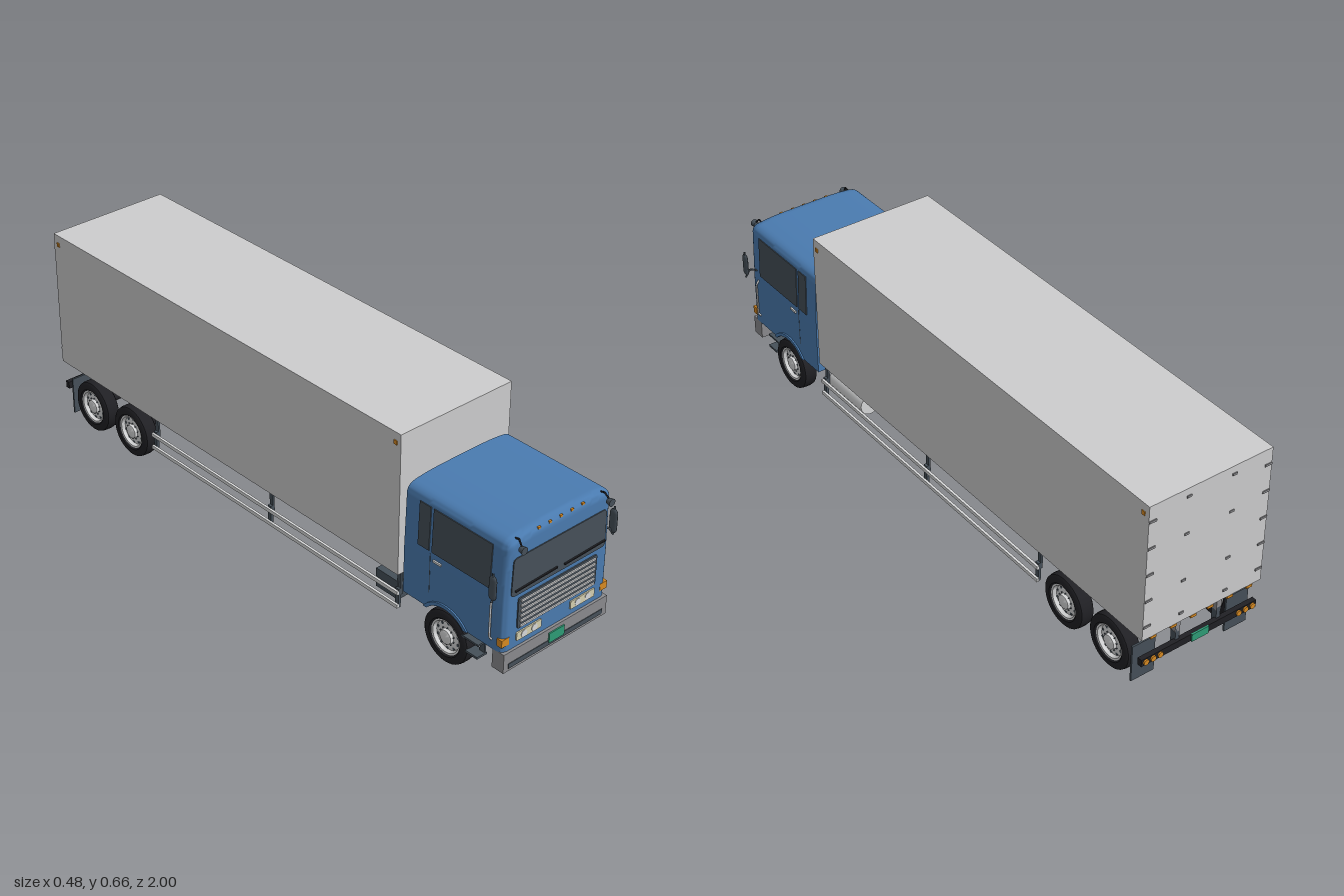
import * as THREE from 'three';
import { mergeVertices, toCreasedNormals } from 'three/addons/utils/BufferGeometryUtils.js';

const mat = (name, color) => new THREE.MeshStandardMaterial({ name, color });

export function createModel() {
  const truck = new THREE.Group();
  truck.name = 'boxTruck';
  const blue = mat('cabBlue', 0x4a7bb0), pale = mat('cargoGrey', 0xcdcdce), slate = mat('darkSlate', 0x465059);
  const black = mat('tyreBlack', 0x202024), grey = mat('frameGrey', 0x8b8b8e), silver = mat('silver', 0xd8d9da);
  const cream = mat('lampCream', 0xd6d0b0), orange = mat('signalOrange', 0xd88a22), green = mat('plateGreen', 0x2e9c76);

  const add = (name, geo, m, x = 0, y = 0, z = 0, parent = truck) => {
    const mesh = new THREE.Mesh(geo, m);
    mesh.name = name;
    mesh.position.set(x, y, z);
    parent.add(mesh);
    return mesh;
  };
  // box given by its minimum and maximum on each axis
  const box = (name, m, x0, x1, y0, y1, z0, z1) =>
    add(name, new THREE.BoxGeometry(x1 - x0, y1 - y0, z1 - z0), m, (x0 + x1) / 2, (y0 + y1) / 2, (z0 + z1) / 2);
  const rod = (name, m, r, pts) => add(name, new THREE.TubeGeometry(
    new THREE.CatmullRomCurve3(pts.map(p => new THREE.Vector3(...p)), false, 'catmullrom', 0.1), 14, r, 8), m);
  // thin rounded plate facing +z
  const plate = (name, m, x0, x1, y0, y1, z, r, depth = 0.005, topInset = 0) => {
    const s = new THREE.Shape(), t = topInset;
    s.moveTo(x0 + r, y0);
    s.lineTo(x1 - r, y0); s.quadraticCurveTo(x1, y0, x1, y0 + r);
    s.lineTo(x1 - t, y1 - r); s.quadraticCurveTo(x1 - t, y1, x1 - t - r, y1);
    s.lineTo(x0 + t + r, y1); s.quadraticCurveTo(x0 + t, y1, x0 + t, y1 - r);
    s.lineTo(x0, y0 + r); s.quadraticCurveTo(x0, y0, x0 + r, y0);
    return add(name, new THREE.ExtrudeGeometry(s, { depth, bevelEnabled: false, curveSegments: 5 }), m, 0, 0, z);
  };
  const sides = [1, -1];

  // cab shell: a box with rounded top and front edges and wheel arches cut below
  const W = 0.205, TOP = 0.513, FRONT = 0.97, BACK = 0.59, R = 0.022, AXLE = 0.758;
  let shell = new THREE.BoxGeometry(2 * W, 1, FRONT - BACK, 40, 36, 40);
  shell.deleteAttribute('normal');
  shell.deleteAttribute('uv');
  const p = shell.attributes.position, v = new THREE.Vector3(), core = new THREE.Vector3();
  for (let i = 0; i < p.count; i++) {
    v.fromBufferAttribute(p, i);
    v.z += (FRONT + BACK) / 2;
    const dz = v.z - AXLE;
    const floor = Math.max(0.15, 0.088 + Math.sqrt(Math.max(0, 0.01 - dz * dz)));
    v.y = floor + (v.y + 0.5) * (TOP - floor);
    core.set(THREE.MathUtils.clamp(v.x, R - W, W - R), Math.min(v.y, TOP - R), Math.min(v.z, FRONT - R));
    // the rear edges stay square
    if (v.z < BACK + 0.001) core.z = v.z;
    v.sub(core);
    if (v.lengthSq() > 0) v.setLength(Math.min(R, Math.max(Math.abs(v.x), Math.abs(v.y), Math.abs(v.z))));
    v.add(core);
    v.y -= 0.012 * Math.pow(v.x / 0.2, 4) * THREE.MathUtils.clamp((v.y - 0.4) / 0.11, 0, 1);
    v.x *= 1 - 0.15 * Math.max(0, v.y - 0.3);
    p.setXYZ(i, v.x, v.y, v.z);
  }
  shell = toCreasedNormals(mergeVertices(shell, 1e-5), 0.75);
  add('cabShell', shell, [blue, blue, blue, black, blue, blue]);

  // cab front
  plate('windscreen', slate, -0.182, 0.182, 0.325, 0.447, 0.969, 0.014, 0.004, 0.003);
  plate('grille', slate, -0.153, 0.153, 0.21, 0.31, 0.969, 0.008, 0.005);
  for (let i = 0; i < 6; i++) {
    const y = 0.2175 + i * 0.0165;
    box('grilleSlat', silver, -0.145, 0.145, y - 0.0028, y + 0.0028, 0.972, 0.978);
  }
  for (let i = -2; i <= 2; i++) box('roofMarker', orange, i * 0.042 - 0.005, i * 0.042 + 0.005, 0.5, 0.506, 0.955, 0.969);
  for (const x of [-0.09, 0.098]) {
    const wiper = box('wiper', black, x - 0.08, x + 0.08, 0.342, 0.346, 0.973, 0.978);
    wiper.rotation.z = 0.025;
  }
  box('bumper', grey, -0.203, 0.203, 0.088, 0.15, 0.935, 0.978);
  box('bumperInset', slate, -0.185, 0.185, 0.097, 0.113, 0.975, 0.98);
  box('frontPlate', green, -0.03, 0.03, 0.105, 0.137, 0.977, 0.982);

  for (const s of sides) {
    const span = (name, m, a, b, ...rest) => box(name, m, Math.min(s * a, s * b), Math.max(s * a, s * b), ...rest);
    plate('headlight', cream, s > 0 ? 0.057 : -0.153, s > 0 ? 0.153 : -0.057, 0.17, 0.197, 0.969, 0.004);
    for (const x of [0.085, 0.125]) {
      const lens = add('headlightLens', new THREE.CylinderGeometry(0.011, 0.011, 0.004, 20), silver, s * x, 0.1835, 0.9735);
      lens.rotation.x = Math.PI / 2;
    }
    span('turnSignal', orange, 0.179, 0.207, 0.171, 0.195, 0.952, 0.971);

    // cab side glass follows the slight lean of the wall
    for (const [z0, z1] of [[0.697, 0.916], [0.643, 0.686]]) {
      span('sideWindow', slate, 0.1986, 0.2046, 0.338, 0.477, z0, z1).rotation.z = s * 0.031;
    }
    span('doorSeam', slate, 0.2, 0.2055, 0.2, 0.33, 0.69, 0.692);
    span('doorHandle', silver, 0.203, 0.209, 0.311, 0.318, 0.705, 0.735);
    rod('grabRail', silver, 0.003, [[s * 0.2, 0.175, 0.93], [s * 0.213, 0.19, 0.93], [s * 0.213, 0.3, 0.93], [s * 0.2, 0.318, 0.93]]);

    // raised lip above the front wheel
    const arc = new THREE.Shape();
    arc.absarc(0, 0, 0.105, 0.64, Math.PI - 0.64, false);
    arc.absarc(0, 0, 0.094, Math.PI - 0.72, 0.72, true);
    const lip = add('wheelArchLip', new THREE.ExtrudeGeometry(arc, { depth: 0.03, bevelEnabled: false, curveSegments: 20 }),
      blue, s > 0 ? 0.18 : -0.21, 0.088, AXLE);
    lip.rotation.y = Math.PI / 2;

    // mirrors and roof lamps
    add('mirror', new THREE.CapsuleGeometry(0.014, 0.05, 5, 14), slate, s * 0.234, 0.373, 0.953).scale.x = 0.42;
    rod('mirrorArm', slate, 0.003, [[s * 0.2, 0.347, 0.935], [s * 0.222, 0.353, 0.948], [s * 0.237, 0.327, 0.953]]);
    rod('mirrorPost', slate, 0.003, [[s * 0.235, 0.39, 0.953], [s * 0.235, 0.422, 0.953]]);
    const lamp = add('roofLamp', new THREE.CylinderGeometry(0.012, 0.009, 0.015, 18), slate, s * 0.168, 0.483, 0.99);
    lamp.rotation.x = Math.PI / 2;
    rod('lampStalk', black, 0.0025, [[s * 0.163, 0.5, 0.95], [s * 0.164, 0.506, 0.972], [s * 0.168, 0.487, 0.988]]);

    // entry steps
    span('step', slate, 0.17, 0.206, 0.126, 0.132, 0.82, 0.885);
    span('lowerStep', slate, 0.17, 0.208, 0.084, 0.091, 0.84, 0.885);
    span('stepHanger', slate, 0.172, 0.178, 0.084, 0.152, 0.865, 0.883);

    // chassis rails and side guards
    span('chassisRail', grey, 0.065, 0.082, 0.15, 0.2, -0.985, 0.93);
    for (const y of [0.085, 0.13]) span('guardBar', silver, 0.2, 0.208, y - 0.006, y + 0.006, -0.54, 0.57);
    for (const z of [0.562, 0.015, -0.53]) {
      span('guardPost', slate, 0.192, 0.201, 0.078, 0.142, z - 0.007, z + 0.007);
      span('guardHanger', slate, 0.186, 0.193, 0.12, 0.2, z - 0.007, z + 0.007);
    }

    // mudflaps, rear lamps and corner markers
    span('mudflap', slate, 0.127, 0.207, 0.02, 0.145, -0.958, -0.952);
    span('underrunBracket', slate, 0.066, 0.08, 0.1, 0.16, -0.985, -0.965);
    for (const x of [0.14, 0.165, 0.19]) {
      const rear = add('rearLamp', new THREE.CylinderGeometry(0.009, 0.009, 0.006, 16), orange, s * x, 0.11, -0.996);
      rear.rotation.x = Math.PI / 2;
    }
    for (const x of [0.03, 0.1, 0.17]) span('rearMarker', orange, x - 0.01, x + 0.01, 0.188, 0.197, -0.998, -0.985);
    for (const z of [0.553, -0.975]) span('cornerMarker', orange, 0.208, 0.2125, 0.617, 0.63, z - 0.006, z + 0.006);

    // rear door hinges and catches
    for (let i = 0; i < 5; i++) span('doorHinge', grey, 0.185, 0.209, 0.24 + i * 0.09, 0.247 + i * 0.09, -1, -0.995);
    for (const y of [0.225, 0.34, 0.5, 0.625]) span('doorCatch', grey, 0.07, 0.085, y, y + 0.007, -1, -0.995);
  }

  // cargo body, floor crossmembers
  box('cargoBody', pale, -0.21, 0.21, 0.197, 0.655, -0.997, 0.573);
  for (let i = 0; i < 5; i++) box('crossMember', grey, -0.066, 0.066, 0.165, 0.19, 0.44 - i * 0.34, 0.46 - i * 0.34);
  box('engine', black, -0.064, 0.064, 0.11, 0.19, 0.6, 0.92);

  // rear underrun bar and plate
  box('underrunBar', black, -0.205, 0.205, 0.098, 0.122, -0.994, -0.978);
  box('rearPlate', green, -0.03, 0.03, 0.097, 0.123, -0.998, -0.993);

  // battery box on the right, fuel tank on the left
  box('batteryBox', slate, -0.195, -0.1, 0.098, 0.16, 0.47, 0.56);
  const tank = add('fuelTank', new THREE.CylinderGeometry(0.036, 0.036, 0.18, 32), silver, 0.15, 0.128, 0.47);
  tank.rotation.x = Math.PI / 2;
  for (const z of [0.42, 0.52]) box('tankBracket', slate, 0.08, 0.13, 0.15, 0.197, z - 0.006, z + 0.006);

  // wheels
  const lathe = (pts, crease) => toCreasedNormals(
    new THREE.LatheGeometry(pts.map(q => new THREE.Vector2(...q)), 36), crease);
  const tyreGeo = lathe([[0.053, -0.019], [0.06, -0.025], [0.076, -0.025], [0.083, -0.02], [0.085, -0.01],
    [0.085, 0.01], [0.083, 0.02], [0.076, 0.025], [0.06, 0.025], [0.053, 0.019]], 0.7);
  const rimGeo = lathe([[0, -0.008], [0.046, -0.008], [0.05, -0.02], [0.055, -0.021], [0.055, 0.021], [0.05, 0.02],
    [0.046, 0.009], [0.03, 0.013], [0.024, 0.013], [0.022, 0.022], [0.016, 0.025], [0, 0.025]], 0.6);
  const holeGeo = new THREE.CylinderGeometry(0.0045, 0.0045, 0.004, 12);
  const boltGeo = new THREE.CylinderGeometry(0.002, 0.002, 0.005, 6);
  for (const [z, name] of [[AXLE, 'front'], [-0.654, 'middle'], [-0.855, 'rear']]) {
    for (const s of sides) {
      const wheel = new THREE.Group();
      wheel.name = name + 'Wheel';
      wheel.position.set(s * 0.182, 0.088 - 0.003, z);
      wheel.rotation.z = -s * Math.PI / 2;
      truck.add(wheel);
      add('tyre', tyreGeo, black, 0, 0, 0, wheel);
      add('rim', rimGeo, silver, 0, 0, 0, wheel);
      for (let i = 0; i < 10; i++) {
        const a = i * Math.PI / 5, c = Math.cos(a), n = Math.sin(a);
        add('rimHole', holeGeo, slate, 0.04 * c, 0.0095, 0.04 * n, wheel);
        add('wheelBolt', boltGeo, slate, 0.027 * c, 0.014, 0.027 * n, wheel);
      }
    }
    const axle = add(name + 'Axle', new THREE.CylinderGeometry(0.013, 0.013, 0.34, 16), black, 0, 0.088, z);
    axle.rotation.z = Math.PI / 2;
    for (const s of sides) box('leafSpring', black, s * 0.095 - 0.012, s * 0.095 + 0.012, 0.1, 0.15, z - 0.05, z + 0.05);
  }
  return truck;
}
